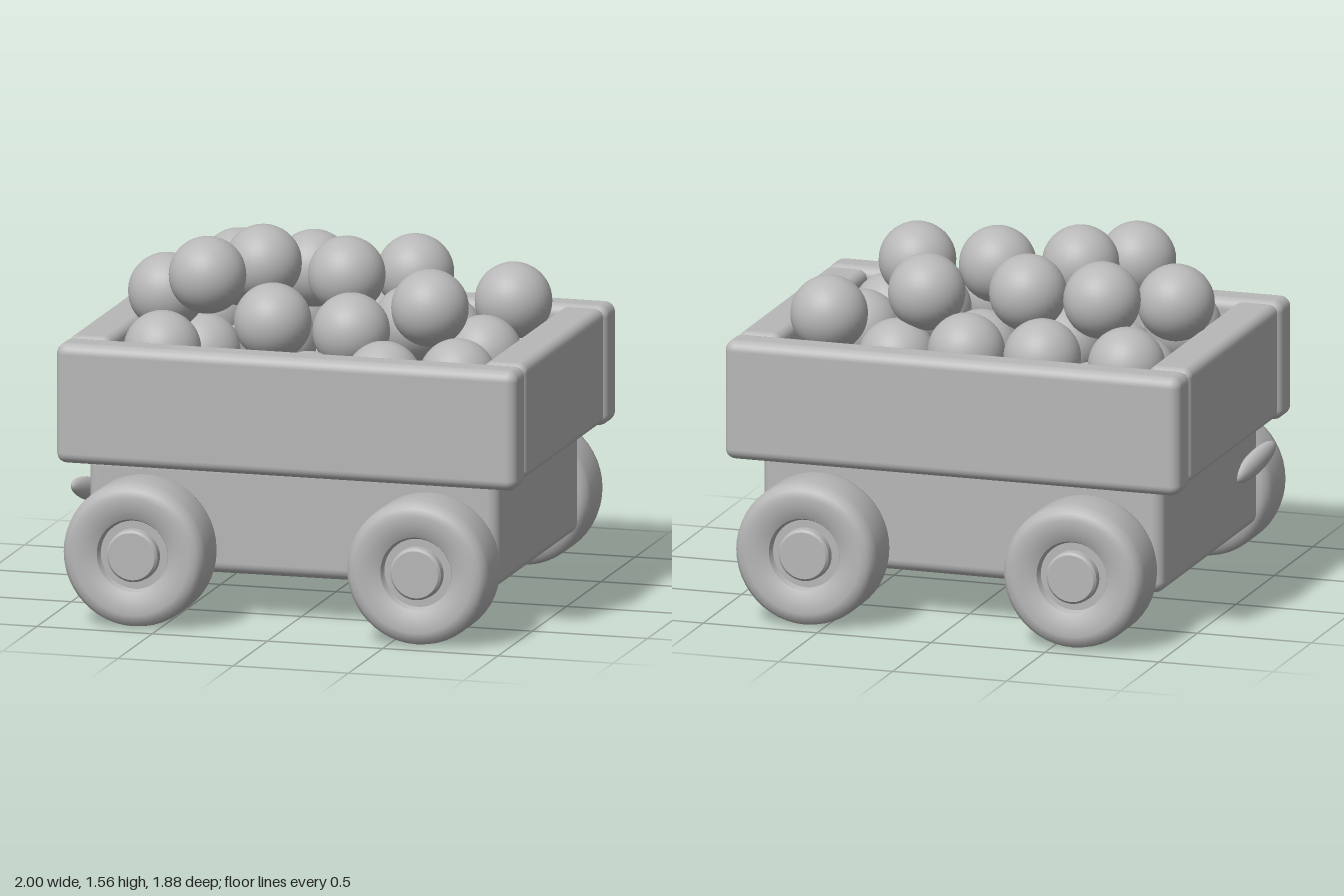
import * as THREE from 'three';
import { RoundedBoxGeometry } from 'three/addons/geometries/RoundedBoxGeometry.js';
import { toCreasedNormals } from 'three/addons/utils/BufferGeometryUtils.js';

export function createModel() {
  const cart = new THREE.Group();
  cart.name = 'ballCart';
  const grey = new THREE.MeshStandardMaterial({ color: 0xb8b8b8 });
  grey.name = 'plainGrey';

  function add(name, geometry, x, y, z) {
    const mesh = new THREE.Mesh(geometry, grey);
    mesh.name = name;
    mesh.position.set(x, y, z);
    cart.add(mesh);
    return mesh;
  }

  // Lower body, slightly wider towards its hitch end
  const body = new RoundedBoxGeometry(1.77, 0.48, 1.23, 4, 0.05);
  const p = body.attributes.position;
  for (let i = 0; i < p.count; i++) p.setZ(i, p.getZ(i) * (1 - 0.03 * p.getX(i)));
  add('lowerBody', body, -0.005, 0.43, 0);

  // Crate boards: long ones front and back, short ones between them
  for (const s of [1, -1]) {
    add(s > 0 ? 'frontBoard' : 'backBoard',
      new RoundedBoxGeometry(2, 0.51, 0.165, 4, 0.045), 0, 0.9, s * 0.6625);
    add(s > 0 ? 'leftBoard' : 'rightBoard',
      new RoundedBoxGeometry(0.19, 0.495, 1.17, 4, 0.04), s * 0.9, 0.9075, 0);
  }

  // Wheel turned from one profile: dished inner side, rounded tyre, groove and hub
  const profile = [
    [0, 0.05], [0.08, 0.05], [0.14, 0.025], [0.23, 0], [0.275, 0.008], [0.298, 0.03], [0.307, 0.06],
    [0.307, 0.215], [0.3, 0.25], [0.28, 0.272], [0.25, 0.28], [0.19, 0.272], [0.155, 0.255],
    [0.145, 0.23], [0.112, 0.23], [0.11, 0.262], [0.1, 0.272], [0, 0.272],
  ].map(([r, h]) => new THREE.Vector2(r, h));
  const wheelGeometry = toCreasedNormals(new THREE.LatheGeometry(profile, 48), 0.7);
  const axleGeometry = new THREE.CylinderGeometry(0.07, 0.085, 0.2, 20);
  for (const [x, s] of [[-0.61, 1], [0.62, 1], [-0.59, -1], [0.585, -1]]) {
    const side = (s > 0 ? 'front' : 'back') + (x > 0 ? 'Left' : 'Right');
    add(side + 'Wheel', wheelGeometry, x, 0.313, s * 0.662).rotation.x = s * Math.PI / 2;
    add(side + 'Axle', axleGeometry, x, 0.32, s * 0.64).rotation.x = s * Math.PI / 2;
  }

  // Small upturned hook on the right end
  const hook = add('hook', new THREE.SphereGeometry(1, 20, 14), -0.92, 0.49, 0.49);
  hook.scale.set(0.035, 0.05, 0.16);
  hook.lookAt(-0.95, 0.53, 0.62);

  // Balls: the heaped, visible ones as x, y, z
  const heap = [
    [-0.48, 1.32, -0.2], [-0.16, 1.33, -0.215], [0.255, 1.32, -0.3], [-0.71, 1.26, 0.08],
    [-0.3, 1.4, 0.055], [0.06, 1.37, 0.045], [-0.48, 1.38, 0.26], [-0.17, 1.22, 0.35],
    [0.145, 1.18, 0.265], [0.485, 1.3, 0.26], [0.66, 1.21, -0.37], [0.64, 1.06, 0],
    [0.33, 1.17, 0], [0.64, 1.04, 0.38], [0.32, 1.01, 0.385], [0, 0.95, 0.4],
    [-0.345, 0.92, 0.39], [-0.64, 1.08, 0.38], [-0.64, 1.09, -0.355], [-0.48, 0.92, -0.33],
    [-0.275, 1.1, -0.37], [0.055, 1.1, -0.38], [0.36, 1.05, -0.375], [0.7, 0.92, -0.4],
    [-0.6, 0.98, -0.07], [-0.25, 1.06, 0], [0.1, 1.03, -0.05],
  ];
  const ballGeometry = new THREE.SphereGeometry(0.162, 32, 22);
  heap.forEach(([x, y, z], i) => add('ball' + (i + 1), ballGeometry, x, y, z));

  // Bottom layer of balls resting on the floor
  for (let i = 0; i < 4; i++) {
    for (let j = 0; j < 3; j++) {
      add('floorBall', ballGeometry, -0.54 + i * 0.36, 0.83, (j - 1) * 0.35 + (i % 2 ? 0.03 : -0.03));
    }
  }
  return cart;
}
